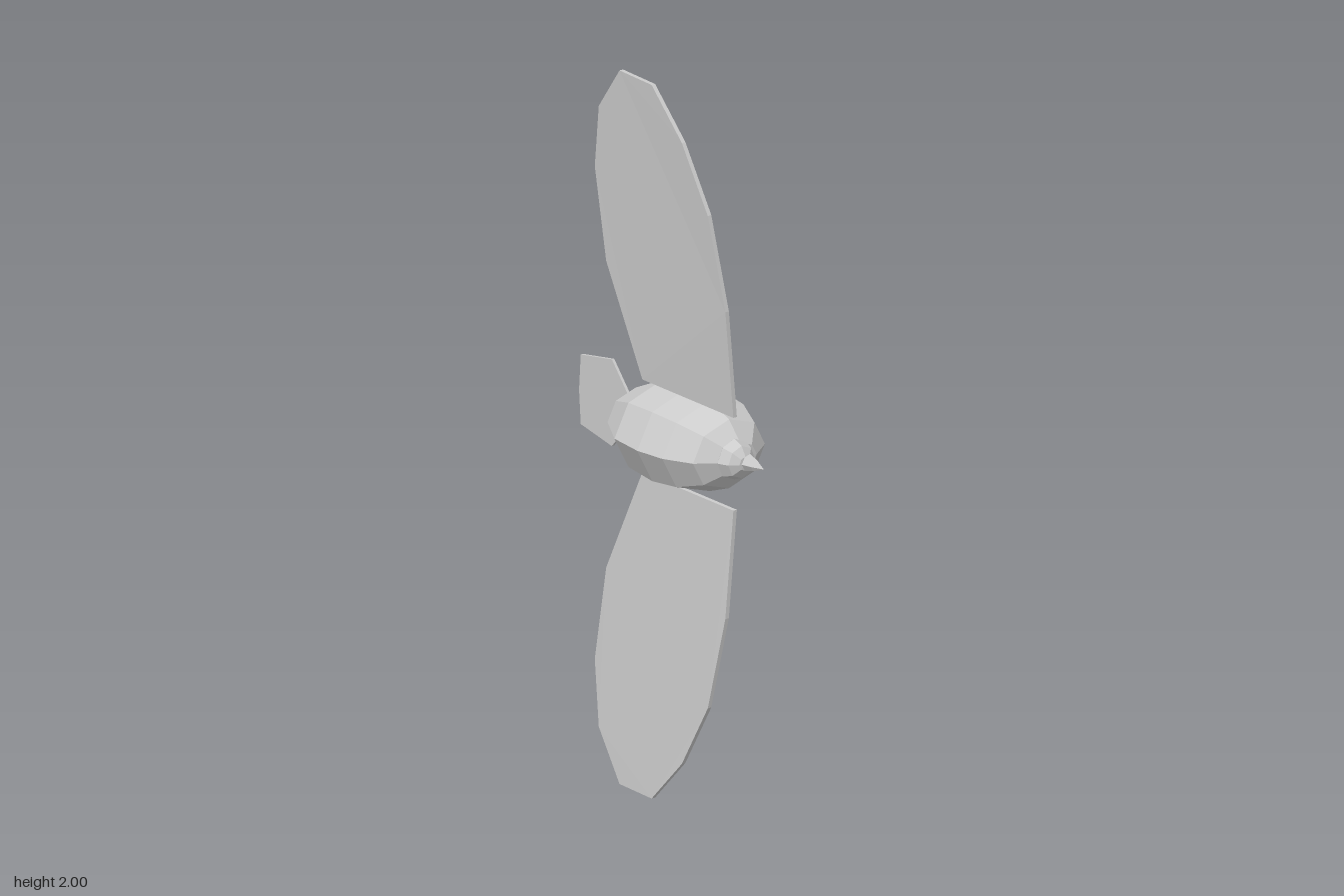
import * as THREE from 'three';

const material = new THREE.MeshStandardMaterial({ color: 0xcccccc, flatShading: true, side: THREE.DoubleSide });

// Faceted solid spun around the x axis; profile is [x, radius]
function spun(name, profile, sides, heightScale, z) {
  const geo = new THREE.LatheGeometry(profile.map(([x, r]) => new THREE.Vector2(r, x)), sides);
  geo.rotateZ(-Math.PI / 2);
  geo.scale(1, heightScale, 1);
  geo.translate(0, 1, z);
  const mesh = new THREE.Mesh(geo, material);
  mesh.name = name;
  return mesh;
}

// Thin plate from an outline in x and y
function plate(name, outline, thickness, zAt) {
  const shape = new THREE.Shape(outline.map(([x, y]) => new THREE.Vector2(x, y)));
  const geo = new THREE.ExtrudeGeometry(shape, { depth: thickness, bevelEnabled: false });
  geo.translate(0, 0, -thickness / 2);
  const p = geo.attributes.position;
  for (let i = 0; i < p.count; i++) p.setZ(i, p.getZ(i) + zAt(p.getX(i), p.getY(i)));
  geo.computeVertexNormals();
  const mesh = new THREE.Mesh(geo, material);
  mesh.name = name;
  return mesh;
}

export function createModel() {
  const bird = new THREE.Group();
  bird.name = 'bird';

  // Plump eight-sided body, a little flattened
  bird.add(spun('body', [
    [-0.23, 0], [-0.15, 0.095], [-0.04, 0.161], [0.07, 0.173],
    [0.16, 0.161], [0.24, 0.122], [0.288, 0.055], [0.29, 0],
  ], 8, 0.79, 0));

  // Small head and pointed beak
  bird.add(spun('head', [
    [0.26, 0], [0.265, 0.045], [0.28, 0.057], [0.31, 0.045], [0.326, 0.02], [0.328, 0],
  ], 8, 1, 0.014));
  bird.add(spun('beak', [[0.315, 0], [0.316, 0.025], [0.355, 0.015], [0.392, 0]], 6, 1, 0.005));

  // Wings: one outline, mirrored above and below the body, raised toward the tips
  const wing = [
    [-0.07, 0.13], [0.31, 0.13], [0.305, 0.43], [0.255, 0.69], [0.16, 0.87],
    [0.04, 1], [-0.1, 1], [-0.2, 0.87], [-0.23, 0.69], [-0.2, 0.43],
  ];
  const lift = (x, y) => {
    const t = Math.abs(y - 1) - 0.13;
    return 0.036 + t * (0.065 + 0.04 * x);
  };
  for (const [name, s] of [['upperWing', 1], ['lowerWing', -1]]) {
    bird.add(plate(name, wing.map(([x, y]) => [x, 1 + s * y]), 0.012, lift));
  }

  // Flat fan tail
  bird.add(plate('tail', [
    [-0.185, 0.96], [-0.185, 1.04], [-0.255, 1.123], [-0.385, 1.1],
    [-0.392, 1], [-0.385, 0.905], [-0.255, 0.88],
  ], 0.008, () => -0.009));

  return bird;
}
